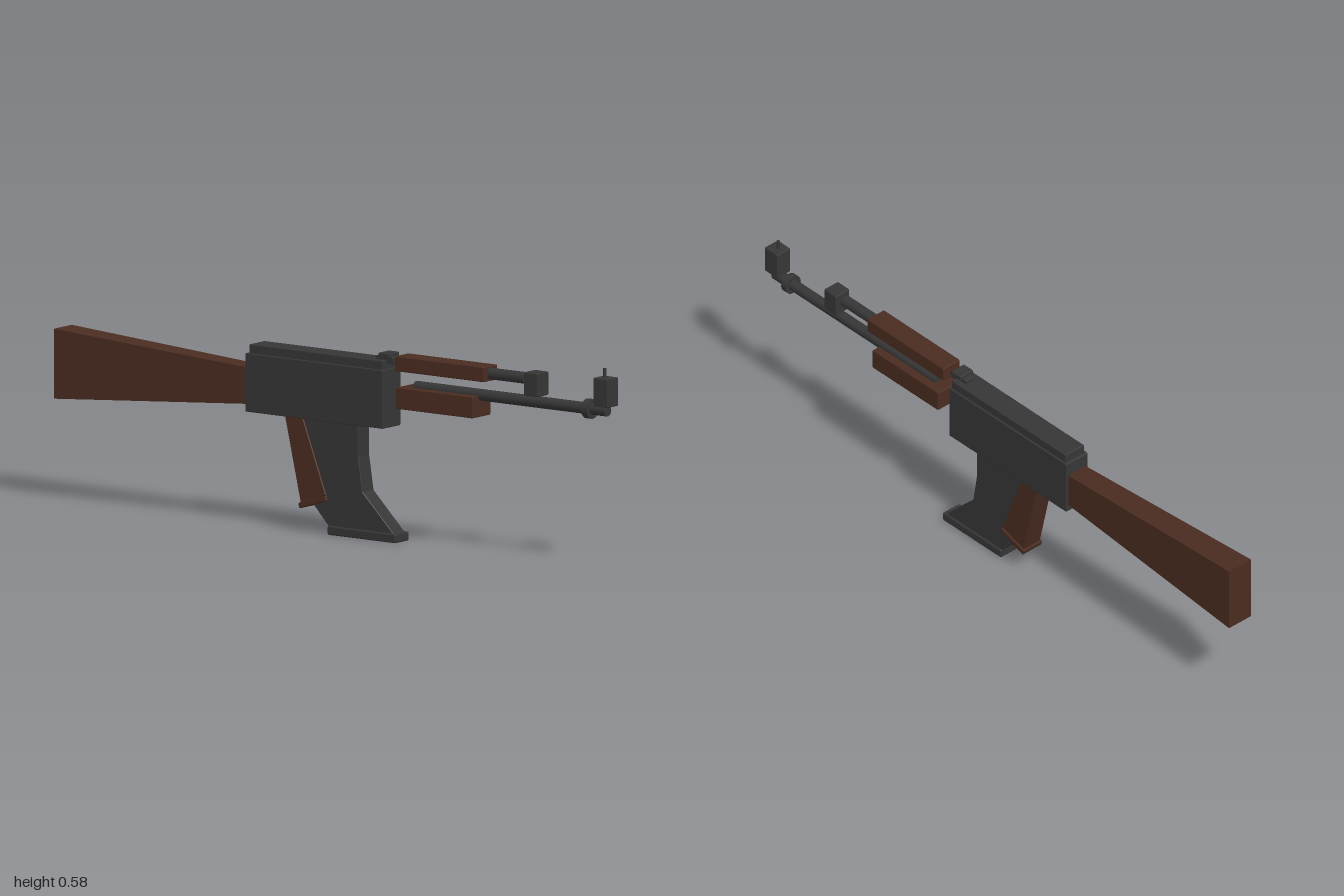
import * as THREE from 'three';
import { RoundedBoxGeometry } from 'three/addons/geometries/RoundedBoxGeometry.js';

export function createModel() {
  const metal = new THREE.MeshStandardMaterial({ color: 0x363636 });
  metal.name = 'darkMetal';
  const wood = new THREE.MeshStandardMaterial({ color: 0x4a2c21 });
  wood.name = 'brownWood';

  const model = new THREE.Group();
  model.name = 'rifle';

  const add = (name, geometry, material) => {
    const mesh = new THREE.Mesh(geometry, material);
    mesh.name = name;
    model.add(mesh);
    return mesh;
  };

  // Softly edged box from its x and y ranges and half width in z
  const box = (name, x0, x1, y0, y1, halfZ, material, r = 0.003) => {
    const mesh = add(name, new RoundedBoxGeometry(x1 - x0, y1 - y0, halfZ * 2, 1, r), material);
    mesh.position.set((x0 + x1) / 2, (y0 + y1) / 2, 0);
    return mesh;
  };

  // Cylinder lying along x
  const rod = (name, x0, x1, y, r) => {
    const mesh = add(name, new THREE.CylinderGeometry(r, r, x1 - x0, 24), metal);
    mesh.rotation.z = -Math.PI / 2;
    mesh.position.set((x0 + x1) / 2, y, 0);
    return mesh;
  };

  // Side outline given depth in z, with a slim bevel
  const slab = (name, points, halfZ, material) => {
    const bevel = 0.002;
    const shape = new THREE.Shape(points.map(([x, y]) => new THREE.Vector2(x, y)));
    const geometry = new THREE.ExtrudeGeometry(shape, {
      depth: (halfZ - bevel) * 2, bevelThickness: bevel, bevelSize: bevel,
      bevelOffset: -bevel, bevelSegments: 1,
    });
    geometry.translate(0, 0, -(halfZ - bevel));
    return add(name, geometry, material);
  };

  // Receiver and its top cover
  box('receiver', -0.305, 0.195, 0.333, 0.505, 0.043, metal);
  box('receiverCover', -0.295, 0.19, 0.5, 0.531, 0.037, metal);

  // Stock: a box that tapers towards the receiver
  const stock = new THREE.BoxGeometry(0.7, 1, 1);
  const pos = stock.attributes.position;
  for (let i = 0; i < pos.count; i++) {
    const butt = pos.getX(i) < 0;
    const top = pos.getY(i) > 0;
    pos.setXYZ(i, butt ? -1 : -0.3,
      butt ? (top ? 0.505 : 0.3) : (top ? 0.461 : 0.355),
      Math.sign(pos.getZ(i)) * (butt ? 0.043 : 0.034));
  }
  stock.computeVertexNormals();
  add('stock', stock, wood);

  // Pistol grip with a tilted foot
  slab('pistolGrip', [[-0.172, 0.345], [-0.108, 0.345], [-0.02, 0.115], [-0.112, 0.083]], 0.032, wood);
  const foot = box('gripFoot', -0.118, -0.014, 0.083, 0.1, 0.037, wood);
  foot.rotation.z = 0.3;

  // Magazine and base plate
  slab('magazine', [
    [-0.11, 0.34], [-0.105, 0.2], [-0.085, 0.1], [-0.01, 0.02],
    [0.228, 0.02], [0.11, 0.137], [0.094, 0.24], [0.094, 0.34],
  ], 0.027, metal);
  box('magazineBase', -0.015, 0.234, 0, 0.027, 0.033, metal, 0.005);

  // Rear sight
  box('rearSightBase', 0.15, 0.215, 0.522, 0.542, 0.018, metal);
  box('rearSightLeaf', 0.165, 0.205, 0.538, 0.552, 0.025, metal);

  // Handguards
  box('lowerHandguard', 0.242, 0.522, 0.397, 0.46, 0.043, wood);
  box('upperHandguard', 0.23, 0.555, 0.505, 0.549, 0.033, wood);

  // Gas tube and block
  rod('gasTube', 0.54, 0.685, 0.527, 0.017);
  box('gasBlock', 0.695, 0.745, 0.48, 0.549, 0.027, metal);

  // Barrel, collar and front sight
  rod('barrel', 0.285, 0.98, 0.461, 0.017);
  rod('barrelCollar', 0.905, 0.926, 0.461, 0.029);
  box('frontSightBlock', 0.946, 1, 0.474, 0.558, 0.026, metal);
  const post = add('frontSightPost', new THREE.CylinderGeometry(0.005, 0.005, 0.032, 12), metal);
  post.position.set(0.97, 0.569, 0);

  return model;
}
